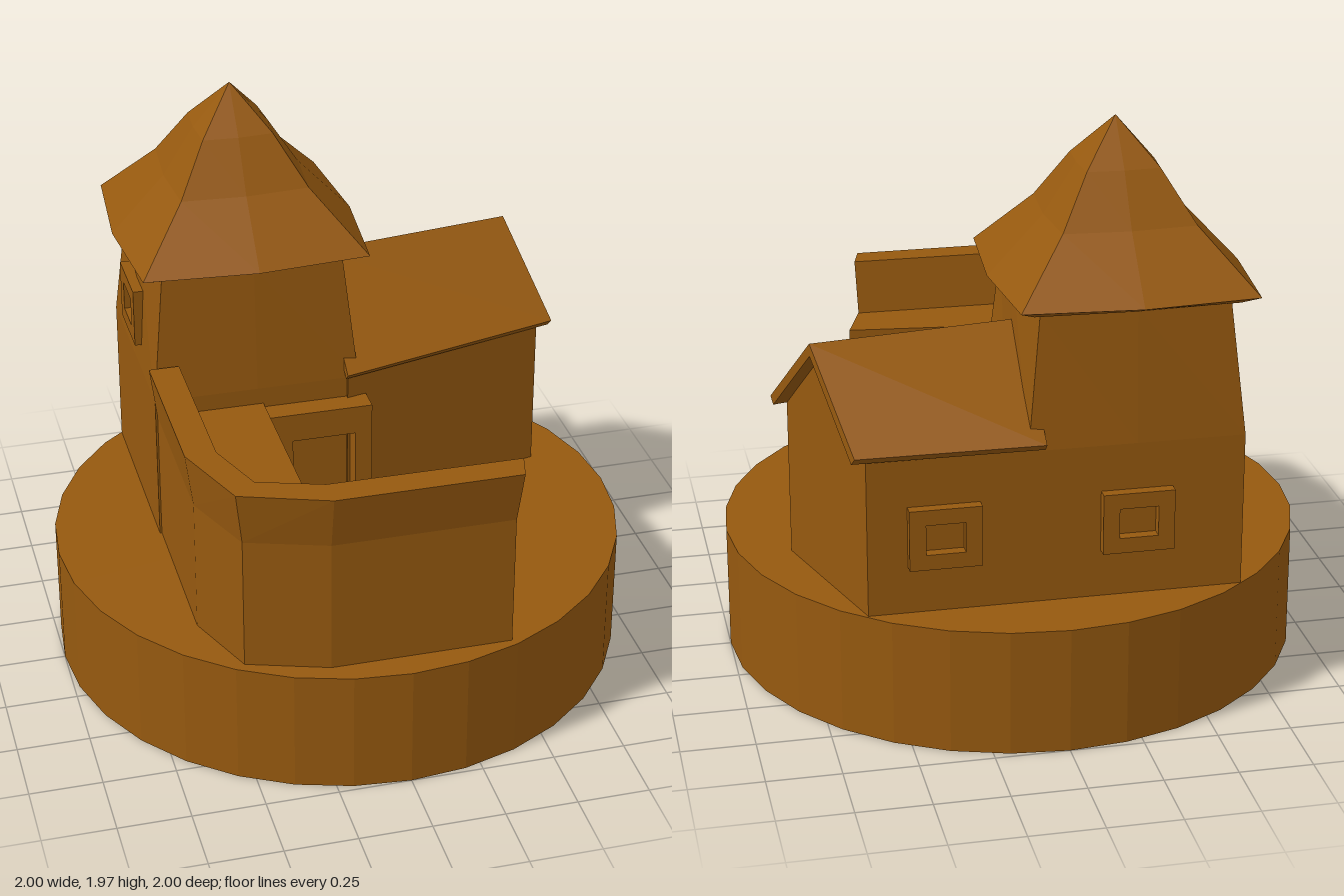
import * as THREE from 'three';

const BASE_TOP = 0.436;

// Flat-shaded solid through rings of equal point count, capped by fans from point 0
function loft(rings) {
  const tris = [];
  const n = rings[0].length;
  for (let i = 0; i < rings.length - 1; i++) {
    for (let j = 0; j < n; j++) {
      const k = (j + 1) % n;
      const [a, b, c, d] = [rings[i][j], rings[i][k], rings[i + 1][k], rings[i + 1][j]];
      tris.push([a, b, c], [a, c, d]);
    }
  }
  const last = rings[rings.length - 1];
  for (let j = 1; j < n - 1; j++) {
    tris.push([rings[0][0], rings[0][j + 1], rings[0][j]], [last[0], last[j], last[j + 1]]);
  }
  // turn the solid outward if its signed volume is negative
  const v = (p) => new THREE.Vector3(...p);
  const volume = tris.reduce((s, [a, b, c]) => s + v(a).dot(v(b).cross(v(c))), 0);
  if (volume < 0) tris.forEach((t) => t.reverse());
  const geo = new THREE.BufferGeometry();
  geo.setAttribute('position', new THREE.Float32BufferAttribute(tris.flat(2), 3));
  geo.computeVertexNormals();
  return geo;
}

// Square ring with mid-side points: corner and middle half-widths around the tower axis
function squareRing(y, corner, mid) {
  const dirs = [[1, 1], [0, 1], [-1, 1], [-1, 0], [-1, -1], [0, -1], [1, -1], [1, 0]];
  return dirs.map(([dx, dz]) => {
    const h = dx && dz ? corner : mid;
    return [-0.27 + dx * h, y, -0.405 + dz * h];
  });
}

// Upright rectangular frame with a rectangular opening, extruded toward +z
function frame(x0, x1, y0, y1, hx0, hx1, hy0, hy1, depth) {
  const rect = (P, a, b, c, d) => new P([[a, c], [b, c], [b, d], [a, d]].map((p) => new THREE.Vector2(...p)));
  const shape = rect(THREE.Shape, x0, x1, y0, y1);
  shape.holes.push(rect(THREE.Path, hx0, hx1, hy0, hy1));
  return new THREE.ExtrudeGeometry(shape, { depth, bevelEnabled: false });
}

export function createModel() {
  const group = new THREE.Group();
  const bronze = new THREE.MeshStandardMaterial({ color: 0x96590f, flatShading: true });
  bronze.name = 'bronze';
  const add = (name, geo) => {
    const mesh = new THREE.Mesh(geo, bronze);
    mesh.name = name;
    group.add(mesh);
    return mesh;
  };

  // Round plinth
  add('base', new THREE.CylinderGeometry(1, 1, BASE_TOP, 32)).position.y = BASE_TOP / 2;

  // Tower: straight below, tapering to a slightly bulged top
  add('tower', loft([
    squareRing(BASE_TOP, 0.362, 0.362),
    squareRing(0.97, 0.362, 0.362),
    squareRing(1.425, 0.315, 0.335),
  ]));

  // Concave pointed roof with a thin sloping soffit
  add('towerRoof', loft([
    squareRing(1.42, 0.34, 0.355),
    squareRing(1.45, 0.393, 0.425),
    squareRing(1.65, 0.222, 0.238),
    squareRing(1.82, 0.122, 0.13),
    squareRing(1.97, 0.001, 0.001),
  ]));

  // Skewed side house: gabled sections from the tower to the slanted end wall
  add('house', loft([
    [[0.05, 1.26, -0.4], [0.05, 0.98, -0.03], [0.05, BASE_TOP, -0.03], [0.05, BASE_TOP, -0.767], [0.05, 0.98, -0.767]],
    [[0.708, 1.26, -0.5], [0.8, 0.98, -0.21], [0.8, BASE_TOP, -0.21], [0.622, BASE_TOP, -0.767], [0.622, 0.98, -0.767]],
  ]));

  // House roof: chevron slab
  add('houseRoof', loft([
    [[0.04, 1.293, -0.4], [0.04, 1.005, 0.01], [0.04, 0.98, -0.015], [0.04, 1.25, -0.4], [0.04, 0.98, -0.785], [0.04, 1.005, -0.81]],
    [[0.757, 1.293, -0.5], [0.853, 1.005, -0.2], [0.847, 0.98, -0.22], [0.757, 1.25, -0.5], [0.67, 0.98, -0.78], [0.662, 1.005, -0.803]],
  ]));

  // Curtain wall up to the walkway
  const plan = [[-0.625, -0.06], [-0.625, 0.55], [-0.522, 0.81], [-0.25, 0.9], [0.37, 0.9],
    [0.463, 0.625], [-0.25, 0.55], [-0.25, -0.06]];
  const wallShape = new THREE.Shape(plan.map(([x, z]) => new THREE.Vector2(x, -z)));
  const wallGeo = new THREE.ExtrudeGeometry(wallShape, { depth: 0.91 - BASE_TOP, bevelEnabled: false });
  wallGeo.rotateX(-Math.PI / 2).translate(0, BASE_TOP, 0);
  add('curtainWall', wallGeo);

  // Parapet leaning outward: [outer foot, outer top, inner top, inner foot] at each bend
  const stations = [
    [[-0.625, -0.04], [-0.65, -0.04], [-0.545, -0.04], [-0.52, -0.04]],
    [[-0.625, 0.55], [-0.65, 0.55], [-0.545, 0.55], [-0.52, 0.55]],
    [[-0.522, 0.81], [-0.545, 0.83], [-0.468, 0.76], [-0.447, 0.735]],
    [[-0.25, 0.9], [-0.25, 0.935], [-0.25, 0.832], [-0.25, 0.797]],
    [[0.37, 0.9], [0.382, 0.935], [0.408, 0.837], [0.402, 0.802]],
  ];
  add('parapet', loft(stations.map((s) => s.map(([x, z], i) => [x, i === 1 || i === 2 ? 1.1 : 0.91, z]))));

  // Door surround on the tower front
  add('doorFrame', frame(-0.26, 0.12, BASE_TOP, 0.895, -0.165, 0.06, BASE_TOP + 0.002, 0.79, 0.085))
    .position.z = -0.045;

  // Window surrounds: two at the back, one on the tower side
  const windows = [
    { at: [0.37, 0.705, -0.76], turn: Math.PI },
    { at: [-0.27, 0.705, -0.76], turn: Math.PI },
    { at: [-0.605, 1.165, -0.415], turn: -Math.PI / 2 },
  ];
  for (const { at, turn } of windows) {
    const win = add('windowFrame', frame(-0.12, 0.12, -0.105, 0.105, -0.065, 0.065, -0.052, 0.052, 0.045));
    win.position.set(...at);
    win.rotation.y = turn;
  }

  return group;
}
